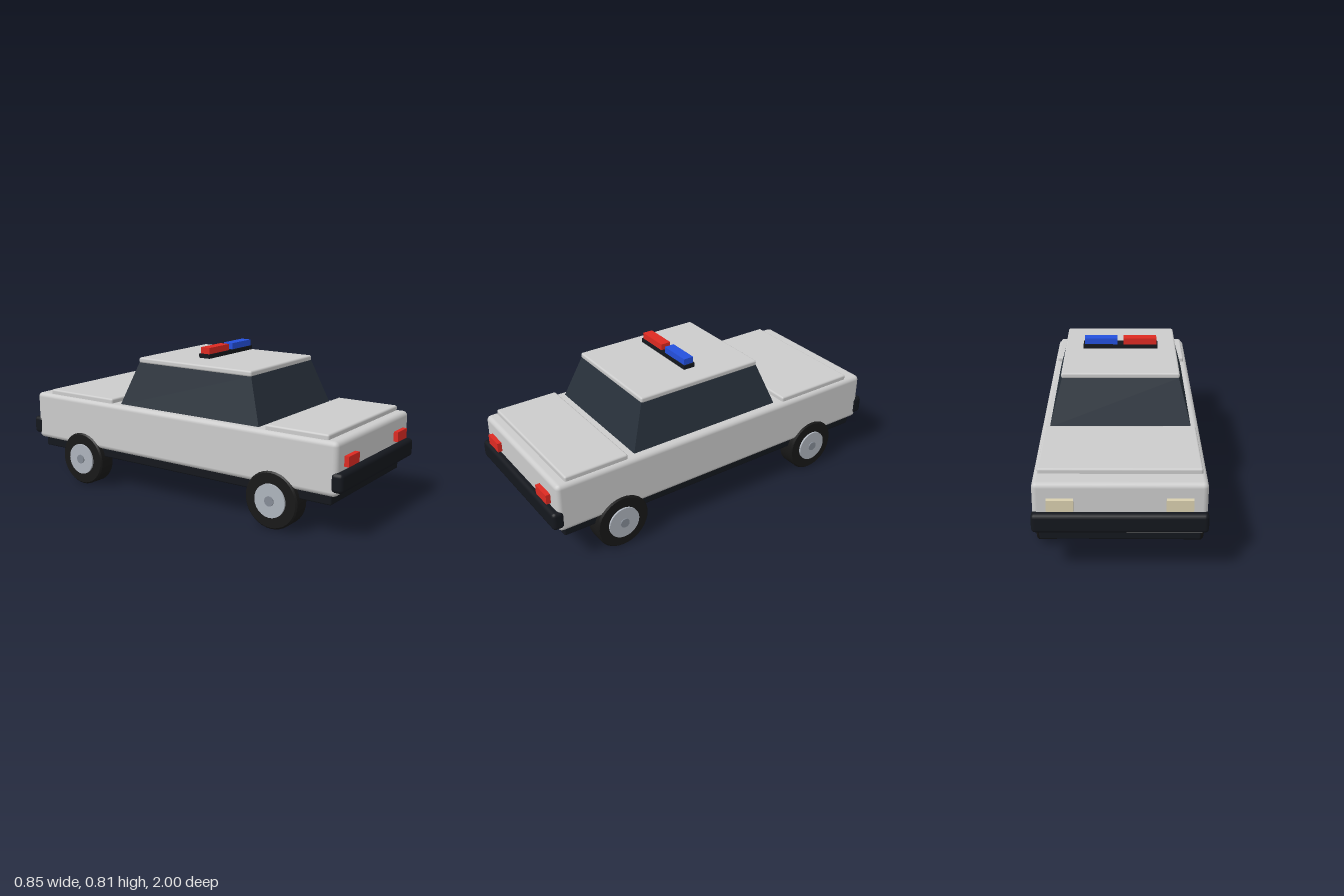
import * as THREE from 'three';
import { RoundedBoxGeometry } from 'three/addons/geometries/RoundedBoxGeometry.js';
import { toCreasedNormals } from 'three/addons/utils/BufferGeometryUtils.js';

const mat = (color) => new THREE.MeshStandardMaterial({ color });
const paint = mat(0xcccccc), black = mat(0x14171d), rubber = mat(0x181818), glass = mat(0x27303a);
const red = mat(0xdd2a22), blue = mat(0x2450dd), lamp = mat(0xd8cfae), steel = mat(0xaeb4bd), cap = mat(0x858c96);

// Box given by its extents; a radius rounds the edges
function box(parent, name, material, [x0, x1], [y0, y1], [z0, z1], radius = 0) {
  const size = [x1 - x0, y1 - y0, z1 - z0];
  const geo = radius ? new RoundedBoxGeometry(...size, 2, radius) : new THREE.BoxGeometry(...size);
  const mesh = new THREE.Mesh(geo, material);
  mesh.name = name;
  mesh.position.set((x0 + x1) / 2, (y0 + y1) / 2, (z0 + z1) / 2);
  parent.add(mesh);
  return mesh;
}

// Window block: a box whose top is drawn in to the roof outline
function cabinGeometry() {
  const geo = new THREE.BoxGeometry(1, 1, 1);
  const p = geo.attributes.position;
  for (let i = 0; i < p.count; i++) {
    const top = p.getY(i) > 0;
    const x = Math.sign(p.getX(i)) * (top ? 0.298 : 0.36);
    const z = p.getZ(i) > 0 ? (top ? 0.435 : 0.522) : (top ? -0.276 : -0.364);
    p.setXYZ(i, x, top ? 0.715 : 0.48, z);
  }
  geo.computeVertexNormals();
  return geo;
}

// Wheel turned about its axle, outer side towards +x
function makeWheel() {
  const wheel = new THREE.Group();
  const turned = (name, material, points) => {
    const profile = points.map(([r, x]) => new THREE.Vector2(r, x));
    const geo = toCreasedNormals(new THREE.LatheGeometry(profile, 36), 0.5);
    geo.rotateZ(-Math.PI / 2);
    const mesh = new THREE.Mesh(geo, material);
    mesh.name = name;
    wheel.add(mesh);
  };
  turned('tyre', rubber, [[0, -0.05], [0.138, -0.05], [0.146, -0.042], [0.146, 0.042], [0.138, 0.05], [0, 0.05]]);
  turned('rim', steel, [[0.085, 0.04], [0.085, 0.06], [0, 0.06]]);
  turned('hubCap', cap, [[0.025, 0.055], [0.025, 0.066], [0, 0.066]]);
  return wheel;
}

export function createModel() {
  const car = new THREE.Group();
  car.name = 'patrolCar';

  // Body and chassis
  box(car, 'body', paint, [-0.4, 0.4], [0.22, 0.485], [-0.968, 0.968], 0.025);
  box(car, 'chassis', black, [-0.375, 0.375], [0.172, 0.26], [-0.932, 0.932], 0.008);
  box(car, 'frontPanel', paint, [-0.38, 0.38], [0.465, 0.51], [0.567, 0.912], 0.01);
  box(car, 'rearPanel', paint, [-0.38, 0.38], [0.465, 0.51], [-0.872, -0.408], 0.01);

  // Cabin and roof
  const cabin = new THREE.Mesh(cabinGeometry(), glass);
  cabin.name = 'cabinWindows';
  car.add(cabin);
  box(car, 'roof', paint, [-0.302, 0.302], [0.711, 0.741], [-0.278, 0.437], 0.01);

  // Bumpers
  box(car, 'frontBumper', black, [-0.405, 0.405], [0.244, 0.341], [0.937, 1], 0.02);
  box(car, 'rearBumper', black, [-0.405, 0.405], [0.244, 0.341], [-1, -0.937], 0.02);

  // Lamps and wheels on both sides
  for (const s of [1, -1]) {
    const side = s > 0 ? 'left' : 'right';
    const span = (a, b) => (s > 0 ? [a, b] : [-b, -a]);
    box(car, side + 'RedLamp', red, span(0.218, 0.328), [0.357, 0.408], [0.95, 0.992]);
    box(car, side + 'PaleLamp', lamp, span(0.21, 0.333), [0.355, 0.412], [-0.992, -0.95]);
    for (const z of [0.623, -0.62]) {
      const wheel = makeWheel();
      wheel.name = side + (z > 0 ? 'FrontWheel' : 'RearWheel');
      wheel.position.set(s * 0.358, 0.146, z);
      if (s < 0) wheel.rotation.y = Math.PI;
      car.add(wheel);
    }
  }

  // Light bar, held just above the roof
  const bar = new THREE.Group();
  bar.name = 'lightBar';
  box(bar, 'barBase', black, [-0.2, 0.2], [0.757, 0.779], [0.048, 0.114]);
  box(bar, 'redBeacon', red, [-0.193, -0.016], [0.778, 0.812], [0.053, 0.109]);
  box(bar, 'blueBeacon', blue, [0.016, 0.193], [0.778, 0.812], [0.053, 0.109]);
  car.add(bar);

  return car;
}
